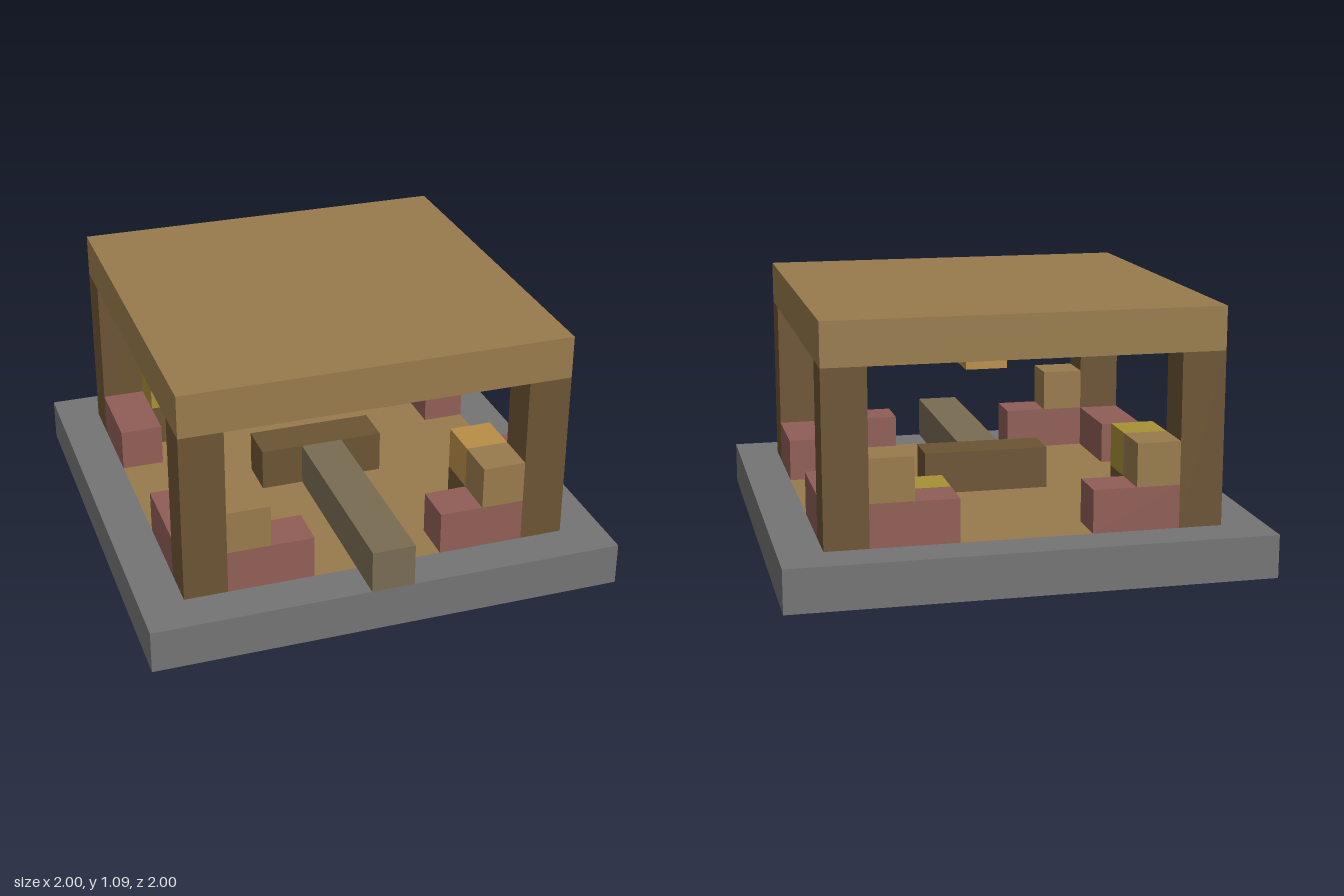
import * as THREE from 'three';

const U = 2 / 11; // one block

const colours = {
  stone: 0x747474, plank: 0x987b4c, darkWood: 0x6b5434, brick: 0x905e56,
  path: 0x796c53, lamp: 0xb88e47, straw: 0xa79036, water: 0x3854c2,
};

export function createModel() {
  const model = new THREE.Group();
  model.name = 'pavilion';
  const mats = {};
  for (const [name, color] of Object.entries(colours)) {
    mats[name] = new THREE.MeshStandardMaterial({ color });
    mats[name].name = name;
  }

  // Box filling an inclusive range of block cells
  function blocks(name, mat, [x0, x1], [y0, y1], [z0, z1]) {
    const geo = new THREE.BoxGeometry((x1 - x0 + 1) * U, (y1 - y0 + 1) * U, (z1 - z0 + 1) * U);
    const mesh = new THREE.Mesh(geo, mats[mat]);
    mesh.position.set((x0 + x1) / 2 * U, (y0 + y1 + 1) / 2 * U, (z0 + z1) / 2 * U);
    mesh.name = name;
    model.add(mesh);
  }
  const block = (name, mat, x, y, z) => blocks(name, mat, [x, x], [y, y], [z, z]);

  // Stone border around the floor
  for (const s of [-1, 1]) {
    blocks('stoneBorder', 'stone', [-5, 5], [0, 0], [5 * s, 5 * s]);
    blocks('stoneBorder', 'stone', [5 * s, 5 * s], [0, 0], [-4, 4]);
  }

  // Plank floor with a small pool and a dark block let into it
  blocks('floor', 'plank', [-4, 4], [0, 0], [-2, 4]);
  blocks('floor', 'plank', [-4, 4], [0, 0], [-4, -4]);
  blocks('floor', 'plank', [-4, 1], [0, 0], [-3, -3]);
  block('floor', 'plank', 4, 0, -3);
  block('floorInset', 'darkWood', 2, 0, -3);
  block('pool', 'water', 3, 0, -3);

  // Corner posts, low brick walls and the blocks on top of them
  for (const sx of [-1, 1]) for (const sz of [-1, 1]) {
    const span = s => (s > 0 ? [2, 3] : [-3, -2]);
    blocks('post', 'darkWood', [4 * sx, 4 * sx], [1, 4], [4 * sz, 4 * sz]);
    blocks('lowWall', 'brick', span(sx), [1, 1], [4 * sz, 4 * sz]);
    blocks('lowWall', 'brick', [4 * sx, 4 * sx], [1, 1], span(sz));
    block('wallTop', 'plank', 3 * sx, 2, 4 * sz);
  }

  // Central bench and raised entrance path
  blocks('bench', 'darkWood', [-1, 1], [1, 1], [0, 0]);
  blocks('entrancePath', 'path', [0, 0], [1, 1], [1, 5]);

  // Corner stands, straw and lamps
  block('lampStand', 'darkWood', 3, 1, 3);
  block('cornerLamp', 'lamp', 3, 2, 3);
  block('strawStand', 'darkWood', -3, 1, -3);
  block('strawBlock', 'straw', -3, 2, -3);
  block('strawBlock', 'straw', 2, 1, -3);
  block('hangingLamp', 'lamp', 0, 4, 0);

  // Flat roof
  blocks('roof', 'plank', [-4, 4], [5, 5], [-4, 4]);

  return model;
}
